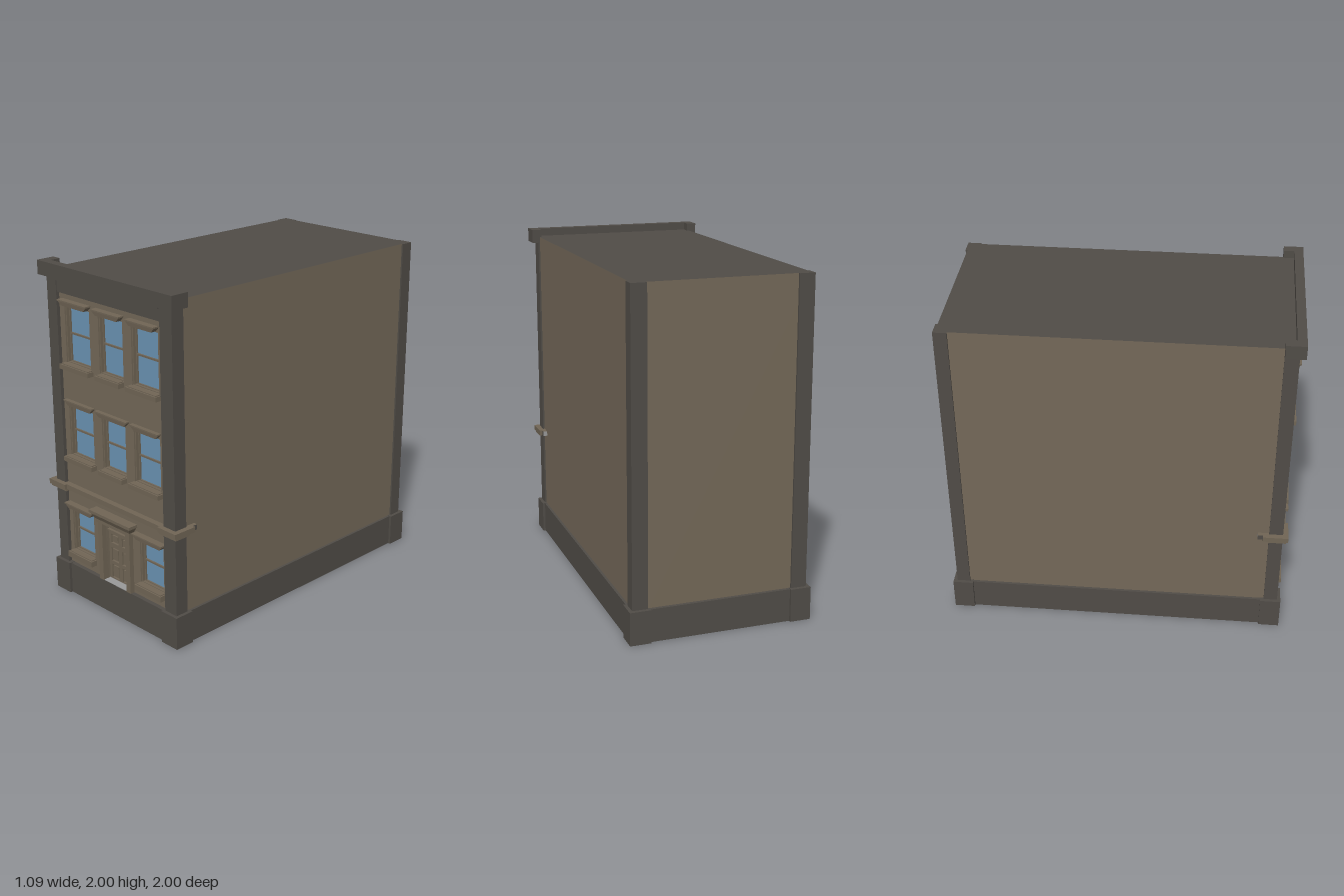
import * as THREE from 'three';

const mat = (name, color) => {
  const m = new THREE.MeshStandardMaterial({ color });
  m.name = name;
  return m;
};

export function createModel() {
  const house = new THREE.Group();
  house.name = 'townhouse';
  const brick = mat('brown wall', 0x736858);
  const trim = mat('brown trim', 0x706555);
  const dark = mat('dark stone', 0x504c47);
  const glass = mat('blue glass', 0x6a92b2);
  const pale = mat('pale grey', 0x999999);

  // Box from its limits; flare narrows the bottom at both sides and the front
  function box(name, m, x0, x1, y0, y1, z0, z1, parent = house, flare = 0, flareZ = 0) {
    const g = new THREE.BoxGeometry(x1 - x0, y1 - y0, z1 - z0);
    if (flare) {
      const p = g.attributes.position;
      for (let i = 0; i < p.count; i++) {
        if (p.getY(i) > 0) continue;
        p.setX(i, p.getX(i) - Math.sign(p.getX(i)) * flare);
        if (p.getZ(i) > 0) p.setZ(i, p.getZ(i) - flareZ);
      }
      g.computeVertexNormals();
    }
    const mesh = new THREE.Mesh(g, m);
    mesh.position.set((x0 + x1) / 2, (y0 + y1) / 2, (z0 + z1) / 2);
    mesh.name = name;
    parent.add(mesh);
  }

  // Rectangular path, used for outlines and openings
  function rect(Type, x0, x1, y0, y1) {
    const s = new Type();
    s.moveTo(x0, y0);
    s.lineTo(x1, y0);
    s.lineTo(x1, y1);
    s.lineTo(x0, y1);
    s.closePath();
    return s;
  }

  // Plate with rectangular holes, between two depths
  function pierced(name, m, outer, holes, z0, z1, parent = house) {
    const s = rect(THREE.Shape, ...outer);
    s.holes = holes.map((h) => rect(THREE.Path, ...h));
    const mesh = new THREE.Mesh(new THREE.ExtrudeGeometry(s, { depth: z1 - z0, bevelEnabled: false }), m);
    mesh.position.z = z0;
    mesh.name = name;
    parent.add(mesh);
  }

  // Main block with a dark roof reaching the front wall
  box('mainBlock', [brick, brick, dark, dark, brick, brick], -0.5, 0.5, 0.02, 1.955, -0.965, 0.89);
  box('roofEdge', dark, -0.5, 0.5, 1.86, 1.955, 0.89, 0.94);

  // Base course with a pale underside and corner blocks
  box('base', [dark, dark, dark, pale, dark, dark], -0.515, 0.515, 0, 0.19, -0.985, 0.965);
  for (const s of [-1, 1]) {
    const xs = (a, b) => (s > 0 ? [a, b] : [-b, -a]);
    const stone = [dark, dark, dark, pale, dark, dark];
    box('frontCornerBlock', stone, ...xs(0.405, 0.53), 0, 0.192, 0.86, 0.98);
    box('backCornerBlock', stone, ...xs(0.41, 0.53), 0, 0.192, -1, -0.88);
    box('frontPillar', dark, ...xs(s > 0 ? 0.417 : 0.43, 0.51), 0.19, 1.93, 0.88, 0.96);
    box('backPillar', dark, ...xs(0.42, 0.51), 0.19, 1.955, -0.977, -0.9);
    // Cornice and ledge returns
    box('corniceReturn', dark, ...xs(0.49, 0.547), 1.92, 2, 0.88, 0.94);
    box('ledgeReturn', trim, ...xs(0.5, 0.542), 0.67, 0.7, 0.845, 0.99);
    box('ledgeEnd', [dark, dark, trim, pale, trim, pale], ...xs(0.5, 0.525), 0.67, 0.7, 0.815, 0.845);
    box('ledgeCorner', trim, ...xs(0.4, 0.542), 0.67, 0.7, 0.94, 0.99);
    box('ledgeCornerUnderside', trim, ...xs(0.4, 0.535), 0.657, 0.67, 0.88, 0.98);
  }

  // Cornice, frieze and string course
  box('cornice', dark, -0.547, 0.547, 1.92, 2, 0.94, 0.992);
  box('corniceMoulding', dark, -0.43, 0.417, 1.905, 1.92, 0.9, 0.972);
  box('frieze', dark, -0.435, 0.43, 1.835, 1.92, 0.9, 0.955);
  box('stringCourse', trim, -0.435, 0.42, 0.67, 0.7, 0.93, 0.975);
  box('stringCourseUnderside', trim, -0.435, 0.42, 0.66, 0.67, 0.93, 0.96);

  // Windows: opening limits, lintel half-width, sill half-width, sill height, lintel front
  const windows = [];
  for (const [y0, y1, mid, front] of [[1.435, 1.77, 0.113, 0.98], [0.88, 1.185, 0.133, 0.966]]) {
    windows.push([-0.388, -0.175, y0, y1, 0.122, 0.124, 0.032, front]);
    windows.push([-0.1, 0.1, y0, y1, mid, 0.1, 0.032, front]);
    windows.push([0.17, 0.382, y0, y1, 0.113, 0.122, 0.032, front]);
  }
  for (const [x0, x1] of [[-0.398, -0.205], [0.195, 0.39]]) {
    windows.push([x0, x1, 0.278, 0.55, 0.122, 0.108, 0.038, 0.98]);
  }

  // Front wall with openings for windows and door
  pierced('frontWall', brick, [-0.435, 0.43, 0.1, 1.86],
    [...windows.map((w) => w.slice(0, 4)), [-0.1, 0.1, 0.19, 0.55]], 0.89, 0.94);

  for (const [x0, x1, y0, y1, half, sillHalf, sillH, front] of windows) {
    const g = new THREE.Group();
    g.name = 'window';
    house.add(g);
    const cx = (x0 + x1) / 2, my = (y0 + y1) / 2;
    box('pane', glass, x0, x1, y0, y1, 0.897, 0.905, g);
    pierced('windowFrame', trim, [x0, x1, y0, y1],
      [[x0 + 0.007, x1 - 0.007, y0 + 0.004, y1 - 0.007]], 0.9, 0.932, g);
    pierced('sash', trim, [x0 + 0.007, x1 - 0.007, y0 + 0.004, y1 - 0.007],
      [[x0 + 0.014, x1 - 0.014, y0 + 0.008, my - 0.005], [x0 + 0.014, x1 - 0.014, my + 0.005, y1 - 0.014]],
      0.9, 0.915, g);
    box('sill', trim, cx - sillHalf, cx + sillHalf, y0 - sillH, y0 - 0.005, 0.91, 0.98, g);
    box('sillTop', trim, cx - sillHalf + 0.008, cx + sillHalf - 0.008, y0 - 0.005, y0, 0.91, 0.972, g);
    box('lintelCap', trim, cx - half, cx + half, y1 + 0.024, y1 + 0.032, 0.92, front, g);
    box('lintel', trim, cx - half, cx + half, y1, y1 + 0.024, 0.92, front - 0.005, g, 0.025, 0.003);
  }

  // Door with six framed panels and a transom light
  const door = new THREE.Group();
  door.name = 'door';
  house.add(door);
  const panels = [], fields = [];
  for (const [y0, y1] of [[0.2, 0.285], [0.307, 0.39], [0.42, 0.475]]) {
    for (const x of [-0.05, 0.042]) {
      panels.push([x - 0.031, x + 0.031, y0, y1]);
      fields.push([x - 0.023, x + 0.023, y0 + 0.008, y1 - 0.008]);
    }
  }
  box('doorBack', trim, -0.1, 0.1, 0.19, 0.5, 0.885, 0.895, door);
  pierced('doorLeaf', trim, [-0.1, 0.1, 0.19, 0.5], panels, 0.89, 0.918, door);
  for (const f of fields) box('doorPanel', trim, ...f, 0.89, 0.916, door);
  box('transomBar', trim, -0.1, 0.1, 0.495, 0.505, 0.9, 0.93, door);
  box('transomPane', glass, -0.1, 0.1, 0.505, 0.55, 0.905, 0.913, door);
  box('threshold', pale, -0.1, 0.1, 0.186, 0.193, 0.9, 0.965, door);

  // Door surround: pilasters and flared hood
  for (const x of [-0.136, 0.1]) {
    box('pilaster', trim, x, x + 0.036, 0.19, 0.55, 0.93, 0.968, door);
  }
  box('hoodBase', trim, -0.145, 0.145, 0.55, 0.57, 0.92, 0.974, door);
  box('hoodFlare', trim, -0.17, 0.17, 0.57, 0.605, 0.92, 0.993, door, 0.022, 0.017);
  box('hoodCap', trim, -0.176, 0.176, 0.605, 0.622, 0.92, 1, door);

  return house;
}
